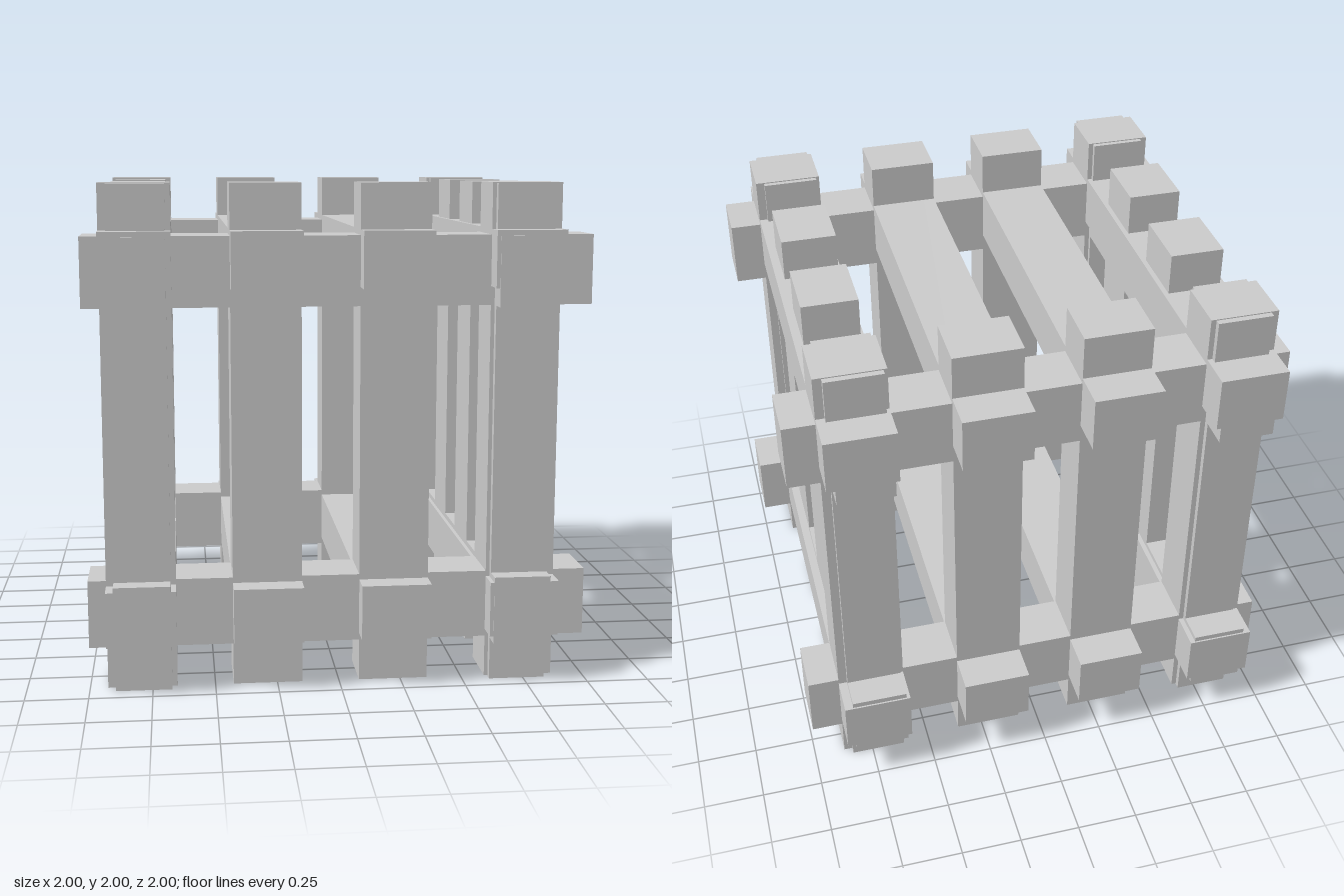
import * as THREE from 'three';

// Slatted crate: interlocking planks on all six sides
export function createModel() {
  const group = new THREE.Group();
  group.name = 'slattedCrate';
  const material = new THREE.MeshStandardMaterial({ color: 0xcccccc, flatShading: true });

  // Plank given by its [min, max] range along each axis
  const plank = (name, x, y, z) => {
    const mesh = new THREE.Mesh(
      new THREE.BoxGeometry(x[1] - x[0], y[1] - y[0], z[1] - z[0]), material);
    mesh.position.set((x[0] + x[1]) / 2, (y[0] + y[1]) / 2, (z[0] + z[1]) / 2);
    mesh.name = name;
    group.add(mesh);
  };

  const columnsX = [[-0.928, -0.652], [-0.427, -0.15], [0.08, 0.358], [0.595, 0.872]];
  const columnsZ = [[-0.87, -0.595], [-0.358, -0.082], [0.15, 0.425], [0.652, 0.928]];
  const railsY = [[0.172, 0.445], [1.523, 1.798]];
  const slatsY = [[0.2, 0.423], [1.597, 1.82]];
  const wallsZ = [['back', [-0.845, -0.62]], ['front', [0.673, 0.897]]];
  const wallsX = [['right', [-0.897, -0.673]], ['left', [0.61, 0.837]]];

  // Front and back walls
  for (const [side, z] of wallsZ) {
    for (const x of columnsX) plank(`${side}Upright`, x, [0.004, 2], z);
    for (const y of railsY) plank(`${side}Rail`, [-1, 1], y, z);
  }

  // Left and right walls
  for (const [side, x] of wallsX) {
    for (const z of columnsZ) plank(`${side}Upright`, x, [0, 1.996], z);
    for (const y of railsY) plank(`${side}Rail`, x, y, [-0.993, 1]);
  }

  // Floor and lid slats
  slatsY.forEach((y, i) => {
    for (const x of columnsX) plank(i ? 'lidSlat' : 'floorSlat', x, y, [-1, 0.996]);
  });

  return group;
}
